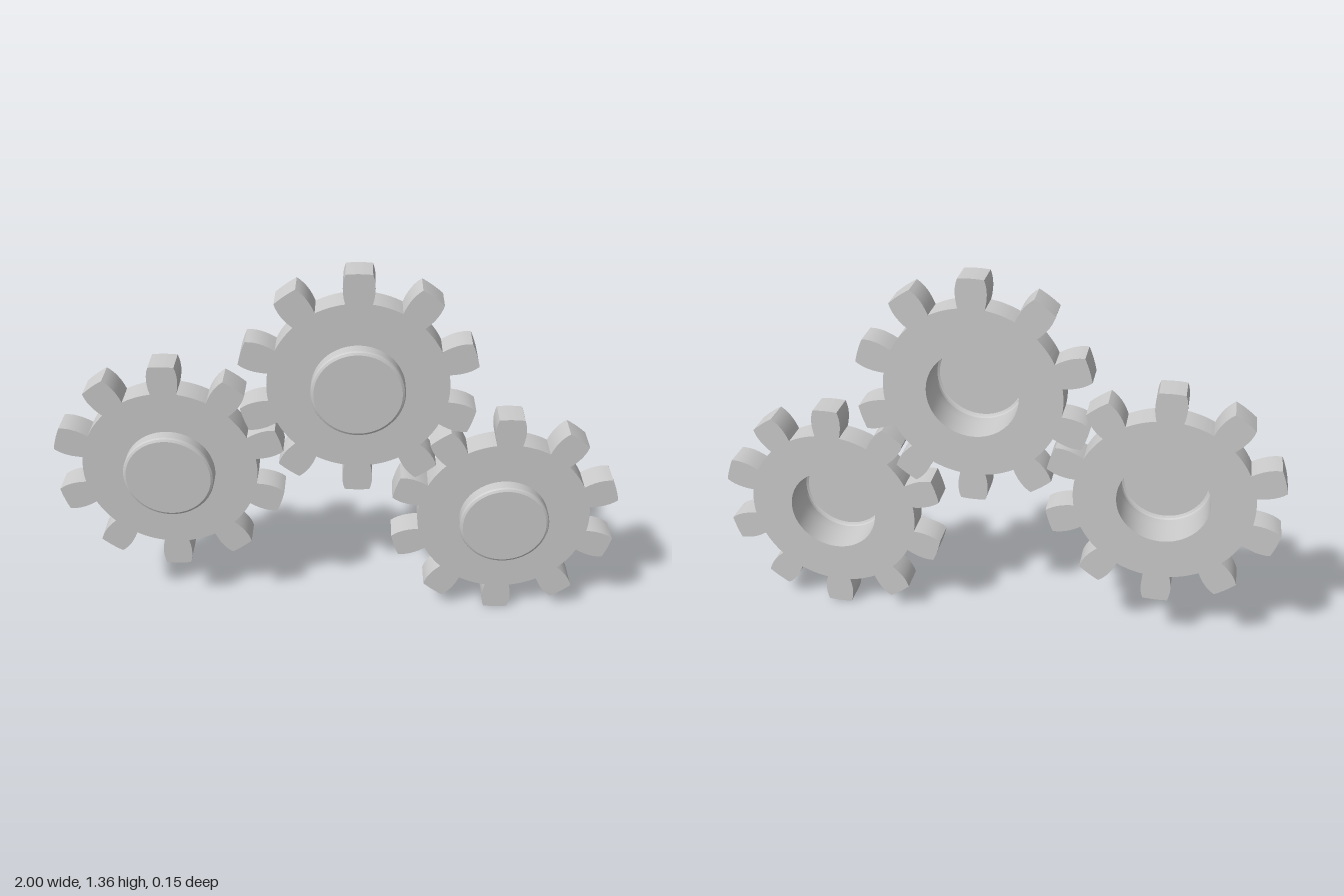
import * as THREE from 'three';
import { toCreasedNormals } from 'three/addons/utils/BufferGeometryUtils.js';

const TEETH = 10, ROOT = 0.31, TIP = 0.412, HUB = 0.16;
const BACK = -0.075, FACE = 0.025, FRONT = 0.075;

// Toothed outline with bulging flanks and a round bore
function gearShape() {
  const shape = new THREE.Shape();
  const rootHalf = Math.asin(0.045 / ROOT), tipHalf = Math.asin(0.044 / TIP);
  for (let i = 0; i < TEETH; i++) {
    const a = Math.PI / 2 + (i * 2 * Math.PI) / TEETH;
    const at = (r, w) => [r * Math.cos(a) - w * Math.sin(a), r * Math.sin(a) + w * Math.cos(a)];
    const polar = (r, t) => [r * Math.cos(t), r * Math.sin(t)];
    if (i === 0) shape.moveTo(...polar(ROOT, a - rootHalf));
    shape.quadraticCurveTo(...at(0.367, -0.061), ...polar(TIP, a - tipHalf));
    shape.absarc(0, 0, TIP, a - tipHalf, a + tipHalf, false);
    shape.quadraticCurveTo(...at(0.367, 0.061), ...polar(ROOT, a + rootHalf));
    shape.absarc(0, 0, ROOT, a + rootHalf, a + (2 * Math.PI) / TEETH - rootHalf, false);
  }
  const bore = new THREE.Path();
  bore.absarc(0, 0, HUB, 0, Math.PI * 2, true);
  shape.holes.push(bore);
  return shape;
}

function bodyGeometry() {
  const shape = gearShape();
  // finer division for the bore than for the teeth
  const pts = shape.extractPoints(6);
  const outline = new THREE.Shape(pts.shape);
  outline.holes.push(new THREE.Path(shape.holes[0].getPoints(32)));
  const geo = new THREE.ExtrudeGeometry(outline, { depth: FACE - BACK, bevelEnabled: false });
  geo.translate(0, 0, BACK);
  return toCreasedNormals(geo, 0.5);
}

// Thin hollow cap with a bevelled rim, open to the back through the bore
function hubGeometry() {
  const profile = [[HUB, FACE], [HUB, 0.064], [0.157, 0.071], [0.149, FRONT], [0, FRONT]]
    .map(([r, z]) => new THREE.Vector2(r, z));
  const geo = new THREE.LatheGeometry(profile, 64);
  geo.rotateX(Math.PI / 2);
  return toCreasedNormals(geo, 0.4);
}

export function createModel() {
  const model = new THREE.Group();
  model.name = 'gearTrain';
  const grey = new THREE.MeshStandardMaterial({ color: 0xcccccc });
  const thin = new THREE.MeshStandardMaterial({ color: 0xcccccc, side: THREE.DoubleSide });
  const body = bodyGeometry(), hub = hubGeometry();

  // Three identical meshing gears
  const places = { rightGear: [-0.598, 0.603], middleGear: [0.065, 0.943], leftGear: [0.595, 0.412] };
  for (const [name, [x, y]] of Object.entries(places)) {
    const gear = new THREE.Group();
    gear.name = name;
    const wheel = new THREE.Mesh(body, grey);
    wheel.name = 'toothedWheel';
    const cap = new THREE.Mesh(hub, thin);
    cap.name = 'hubCap';
    gear.add(wheel, cap);
    gear.position.set(x, y, 0);
    model.add(gear);
  }
  return model;
}
